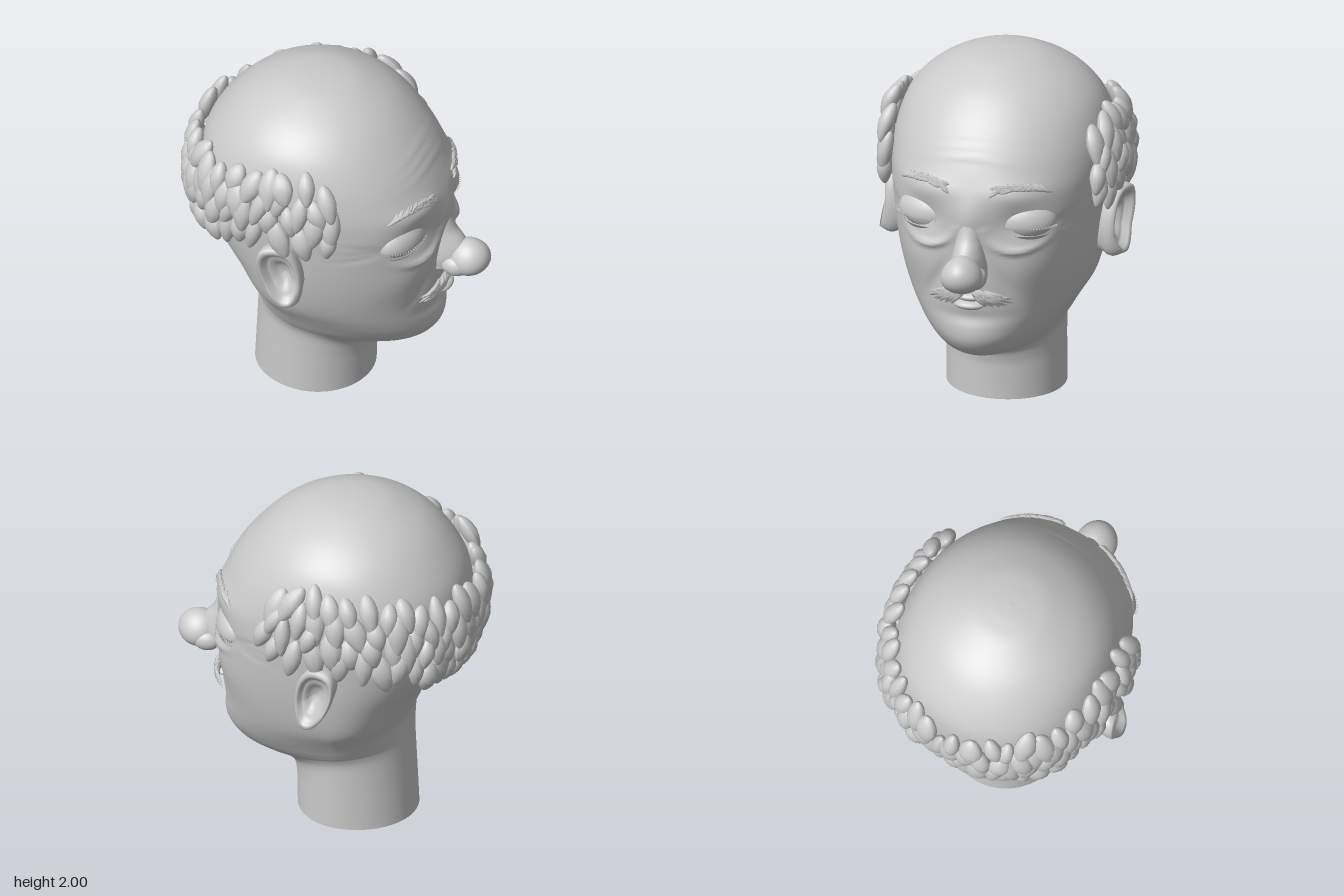
import * as THREE from 'three';
import { mergeGeometries } from 'three/addons/utils/BufferGeometryUtils.js';

const V = (x, y, z) => new THREE.Vector3(x, y, z);
const clay = new THREE.MeshStandardMaterial({ color: 0xcacaca, side: THREE.DoubleSide });
clay.name = 'grey clay';

let seed = 7;
const rnd = () => (seed = (seed * 16807) % 2147483647) / 2147483647;
const jit = (a) => (rnd() - 0.5) * 2 * a;

// Skin closed rings of equal length into one smooth surface
function loft(rings) {
  const n = rings[0].length, pos = [], idx = [];
  rings.forEach((r) => r.forEach((p) => pos.push(p.x, p.y, p.z)));
  for (let i = 0; i < rings.length - 1; i++)
    for (let j = 0; j < n; j++) {
      const a = i * n + j, b = i * n + (j + 1) % n;
      idx.push(a, a + n, b, b, a + n, b + n);
    }
  const g = new THREE.BufferGeometry();
  g.setAttribute('position', new THREE.Float32BufferAttribute(pos, 3));
  g.setIndex(idx);
  g.computeVertexNormals();
  return g;
}

// Mirrored copy across z = 0 with the corner order restored
function mirror(geo) {
  const g = geo.clone().applyMatrix4(new THREE.Matrix4().makeScale(1, 1, -1));
  const ix = g.index.array;
  for (let i = 0; i < ix.length; i += 3) [ix[i], ix[i + 1]] = [ix[i + 1], ix[i]];
  return g;
}

function ball(cx, cy, cz, rx, ry, rz) {
  return new THREE.SphereGeometry(1, 32, 24).scale(rx, ry, rz).translate(cx, cy, cz);
}

// Head cross-sections: y, back x, front x, half width, roundness
const ROWS = [
  [0, -0.49, 0.185, 0.335, 2], [0.13, -0.482, 0.187, 0.335, 2], [0.23, -0.474, 0.193, 0.335, 2],
  [0.3, -0.468, 0.222, 0.338, 2], [0.337, -0.465, 0.31, 0.354, 1.95], [0.358, -0.464, 0.43, 0.372, 1.92],
  [0.4, -0.463, 0.525, 0.402, 1.95], [0.48, -0.464, 0.58, 0.446, 2], [0.58, -0.474, 0.6, 0.485, 2.05],
  [0.7, -0.496, 0.605, 0.519, 2.12], [0.85, -0.553, 0.615, 0.552, 2.2], [1, -0.655, 0.625, 0.577, 2.25],
  [1.15, -0.735, 0.632, 0.593, 2.3], [1.3, -0.775, 0.638, 0.605, 2.3], [1.45, -0.78, 0.6, 0.61, 2.2],
  [1.6, -0.75, 0.525, 0.588, 2.1], [1.75, -0.655, 0.415, 0.525, 2], [1.87, -0.53, 0.285, 0.405, 2],
  [1.96, -0.36, 0.12, 0.24, 2], [1.991, -0.235, -0.012, 0.113, 2], [2, -0.13, -0.13, 0.0001, 2],
];
const AXIS = -0.13;
const sizeCurve = new THREE.CatmullRomCurve3(ROWS.map((r) => V(r[1], r[0], r[2])), false, 'catmullrom');
const formCurve = new THREE.CatmullRomCurve3(ROWS.map((r) => V(r[3], r[0], r[4])), false, 'catmullrom');
function section(t) {
  const a = sizeCurve.getPoint(t), b = formCurve.getPoint(t);
  return { y: a.y, back: AXIS - a.x, front: a.z - AXIS, w: b.x, n: b.z };
}
function sectionAt(y) {
  let lo = 0, hi = 1;
  for (let i = 0; i < 24; i++) {
    const m = (lo + hi) / 2;
    if (sizeCurve.getPoint(m).y < y) lo = m; else hi = m;
  }
  return section(lo);
}

// Sculpted relief of the face, pushed along x
const bump = (d, s) => Math.exp(-d * d / (2 * s * s));
function relief(y, z) {
  const u = Math.abs(z);
  let d = -0.035 * bump(y - 1.22, 0.07) * bump(u - 0.27, 0.09);          // sockets
  d += 0.02 * bump(y - 1.39, 0.045) * bump(u - 0.27, 0.13);              // brow ridges
  d += 0.025 * bump(y - 1.22, 0.1) * bump(u, 0.055);                     // nose root
  d += 0.02 * bump(y - 0.95, 0.1) * bump(u - 0.34, 0.1);                 // cheeks
  d -= 0.012 * bump(u - (0.15 + (0.95 - y) * 0.5), 0.03) * bump(y - 0.85, 0.08); // smile folds
  d += 0.015 * bump(y - 0.5, 0.07) * bump(u, 0.13) - 0.015 * bump(y - 0.64, 0.03) * bump(u, 0.12); // chin
  const e = Math.hypot((u - 0.27) / 0.19, (y - 1.2) / 0.14);
  if (y < 1.2) d += 0.026 * bump(e - 1.02, 0.09) * bump(u - 0.24, 0.1);   // eye bags
  for (const k of [1.56, 1.61, 1.66]) d += 0.006 * bump(y - k - 0.02 * Math.cos(u * 9), 0.012) * bump(u, 0.16);
  for (const k of [-1, 0, 1]) d -= 0.012 * bump(y - 1.2 - k * (u - 0.4) * 0.35, 0.01) * bump(u - 0.51, 0.035);
  return d;
}
// Point on the head; the jaw line climbs from the chin towards the nape
function skin(s, th) {
  const c = Math.cos(th), q = Math.sin(th), p = 2 / s.n;
  const z = s.w * Math.sign(q) * Math.abs(q) ** p;
  const x = AXIS + (c > 0 ? s.front : s.back) * Math.sign(c) * Math.abs(c) ** p;
  const jawRise = 0.17 * bump(s.y - 0.42, 0.16) * (1 - c) * (3 + c) / 4;
  return V(x + (c > 0 ? relief(s.y, z) * Math.min(1, c * 3) : 0), s.y + jawRise, z);
}
function faceX(y, z) {
  const s = sectionAt(y);
  return AXIS + s.front * Math.max(0, 1 - Math.abs(z / s.w) ** s.n) ** (1 / s.n) + relief(y, z);
}

// Tapered strand of hair through three points
function strand(a, b, c, r) {
  const curve = new THREE.QuadraticBezierCurve3(a, b, c), rings = [];
  for (let i = 0; i <= 6; i++) {
    const t = i / 6, T = curve.getTangent(t), N = V(1, 0, 0).addScaledVector(T, -T.x).normalize();
    const B = N.clone().cross(T), R = r * (Math.sin(Math.PI * Math.min(0.98, 0.12 + t * 0.86)) + 0.03);
    rings.push([0, 1, 2, 3, 4].map((k) => curve.getPoint(t)
      .addScaledVector(N, R * Math.cos(k * 1.2566)).addScaledVector(B, R * Math.sin(k * 1.2566))));
  }
  return loft(rings);
}
const onFace = (y, z, off) => V(faceX(y, z) + off, y, z);

export function createModel() {
  const group = new THREE.Group();
  const add = (name, geo) => {
    const m = new THREE.Mesh(geo, clay);
    m.name = name;
    group.add(m);
  };
  const addPair = (name, geo) => { add('left' + name, geo); add('right' + name, mirror(geo)); };

  // Head and neck, open underneath
  const rings = [];
  for (let i = 0; i <= 170; i++) {
    const s = section(i / 170);
    rings.push(Array.from({ length: 160 }, (_, j) => skin(s, j / 160 * Math.PI * 2)));
  }
  add('head', loft(rings));

  // Nose: bridge rings (y, front x, half width), pear-shaped tip and nostril wings
  const bridge = new THREE.CatmullRomCurve3([[0.9, 0.72, 0.1], [0.97, 0.76, 0.1], [1.03, 0.76, 0.09],
    [1.08, 0.73, 0.08], [1.13, 0.69, 0.074], [1.2, 0.663, 0.07], [1.28, 0.645, 0.06], [1.36, 0.615, 0.05]]
    .map(([y, f, w]) => V(f, y, w)));
  add('noseBridge', loft(bridge.getPoints(30).map((p) => Array.from({ length: 32 }, (_, j) => {
    const a = j / 32 * Math.PI * 2, c = Math.cos(a), s = Math.sin(a);
    return V(0.54 + (p.x - 0.54) * Math.sign(c) * Math.abs(c) ** 0.8, p.y, p.z * 1.1 * s);
  }))));
  const tip = ball(0, 0, 0, 1, 1, 1), tp = tip.attributes.position;
  for (let i = 0; i < tp.count; i++) {
    const y = tp.getY(i);
    tp.setXYZ(i, 0.768 + tp.getX(i) * 0.122, 0.967 + y * 0.106, tp.getZ(i) * 0.115 * (1 - 0.2 * y));
  }
  tip.computeVertexNormals();
  add('noseTip', tip);
  addPair('Nostril', ball(0.71, 0.928, 0.07, 0.08, 0.06, 0.055));

  // Eyes: ball, half-closed upper lid, lower lid and lashes, turned outwards with the face
  const placeEye = (g) => g.rotateY(-0.3).translate(0.465, 1.208, 0.28);
  addPair('Eyeball', placeEye(ball(0, 0, 0, 0.1, 0.105, 0.16)));
  addPair('UpperLid', placeEye(new THREE.SphereGeometry(1, 40, 16, 0, Math.PI * 2, 0, Math.PI * 0.52)
    .scale(0.118, 0.125, 0.178)));
  addPair('LowerLid', placeEye(new THREE.SphereGeometry(1, 40, 12, 0, Math.PI * 2, Math.PI * 0.68, Math.PI * 0.32)
    .scale(0.116, 0.118, 0.175)));
  const lashes = [];
  for (let i = 0; i < 26; i++) {
    const a = -1.25 + i / 25 * 2.5, c = Math.cos(a), s = Math.sin(a);
    const p = (k, y) => V(0.116 * c * k, y, 0.174 * s * k);
    lashes.push(strand(p(0.98, -0.01), p(1.05, -0.016), p(1.11, -0.012), 0.003));
  }
  addPair('Lashes', placeEye(mergeGeometries(lashes)));

  // Eyebrows
  const brow = [];
  for (let i = 0; i < 75; i++) {
    const t = i / 75, z = 0.115 + t * 0.27, k = rnd();
    const y = 1.385 + 0.045 * Math.sin(t * 2.2) + k * 0.05 * (1 - t * 0.6);
    const dz = 0.06, dy = 0.035 - t * 0.07 - k * 0.02;
    brow.push(strand(onFace(y, z, 0.004), onFace(y + dy * 0.8, z + dz * 0.5, 0.02), onFace(y + dy, z + dz, 0.008), 0.01));
  }
  addPair('Eyebrow', mergeGeometries(brow));

  // Moustache and lips
  const tash = [];
  for (let i = 0; i < 40; i++) {
    const t = i / 40, z0 = 0.015 + t * 0.1, y0 = 0.83 - rnd() * 0.03 - t * 0.01;
    const z1 = z0 + 0.07 + t * 0.06, y1 = 0.72 + rnd() * 0.055 + t * 0.01;
    tash.push(strand(onFace(y0, z0, 0.015), onFace(y0 - 0.01, (z0 + z1) / 2, 0.06), onFace(y1, z1, 0.025), 0.013));
  }
  addPair('Moustache', mergeGeometries(tash));
  add('lowerLip', ball(0.615, 0.73, 0, 0.05, 0.027, 0.085));
  add('upperLip', ball(0.605, 0.775, 0, 0.045, 0.025, 0.075));

  // Ears: back edge, over the rim, down into the hollow (radius, height)
  const prof = [[0.75, -0.1], [0.88, -0.03], [0.97, 0.04], [1, 0.075], [0.96, 0.105], [0.87, 0.112], [0.77, 0.1],
    [0.68, 0.07], [0.58, 0.06], [0.48, 0.06], [0.36, 0.035], [0.2, 0.018], [0.001, 0.015]];
  const ear = prof.map(([r, h]) => Array.from({ length: 40 }, (_, j) => {
    const a = j / 40 * Math.PI * 2, v = -Math.sin(a), c = Math.cos(a);
    const u = Math.sign(c) * Math.abs(c) ** 0.8 * r * (0.112 + 0.025 * v), y = v * r * 0.2;
    const lobe = Math.max(0, -v - 0.3) * 0.05 * (r < 0.9 ? r : 0);
    return V(-0.09 + u - y * 0.22, 1.04 + y, 0.59 + h * (0.9 - u * 2.5) + y * 0.06 + lobe);
  }));
  addPair('Ear', loft(ear));
  addPair('EarTragus', ball(-0.02, 1.03, 0.6, 0.035, 0.05, 0.035));

  // Hair: overlapping leaf-shaped locks wrapped round the sides and back
  const leaf = new THREE.SphereGeometry(1, 12, 10), lp = leaf.attributes.position;
  for (let i = 0; i < lp.count; i++) {
    const y = lp.getY(i), k = y < 0 ? 1 + y * 0.3 : 1 - y * 0.05;
    lp.setXYZ(i, lp.getX(i) * k, y, lp.getZ(i) * k - 0.15 * y * y);
  }
  leaf.computeVertexNormals();
  const locks = [];
  const start = 1.13, span = Math.PI - start, perRow = 13;
  for (const side of [1, -1])
    for (let row = 0; row < 4; row++)
      for (let i = 0; i < perRow; i++) {
        const f = (i + (row % 2 ? 0.75 : 0.35) + jit(0.2)) / perRow;
        const top = 1.63 - 0.17 * f - (f < 0.07 ? 0.1 : 0), bottom = 1.3 - 0.22 * f * f;
        const y = top + (bottom - top) * row / 3 + jit(0.035);
        const th = side * (start + f * span);
        const p = skin(sectionAt(y), th);
        const up = skin(sectionAt(y + 0.04), th).sub(skin(sectionAt(y - 0.04), th)).normalize();
        const along = skin(sectionAt(y), th + 0.03).sub(skin(sectionAt(y), th - 0.03)).normalize();
        const out = up.clone().cross(along).normalize();
        if (out.x * (p.x + 0.1) + out.z * p.z < 0) out.negate();
        up.addScaledVector(along, jit(0.35)).addScaledVector(out, -0.12).normalize();
        const right = up.clone().cross(out).normalize();
        out.crossVectors(right, up);
        const m = new THREE.Matrix4().makeBasis(right, up, out)
          .scale(V(0.058 + jit(0.012), 0.112 + jit(0.022), 0.045))
          .setPosition(p.addScaledVector(out, 0.055 + jit(0.015)));
        locks.push(leaf.clone().applyMatrix4(m));
      }
  add('hair', mergeGeometries(locks));

  return group;
}
